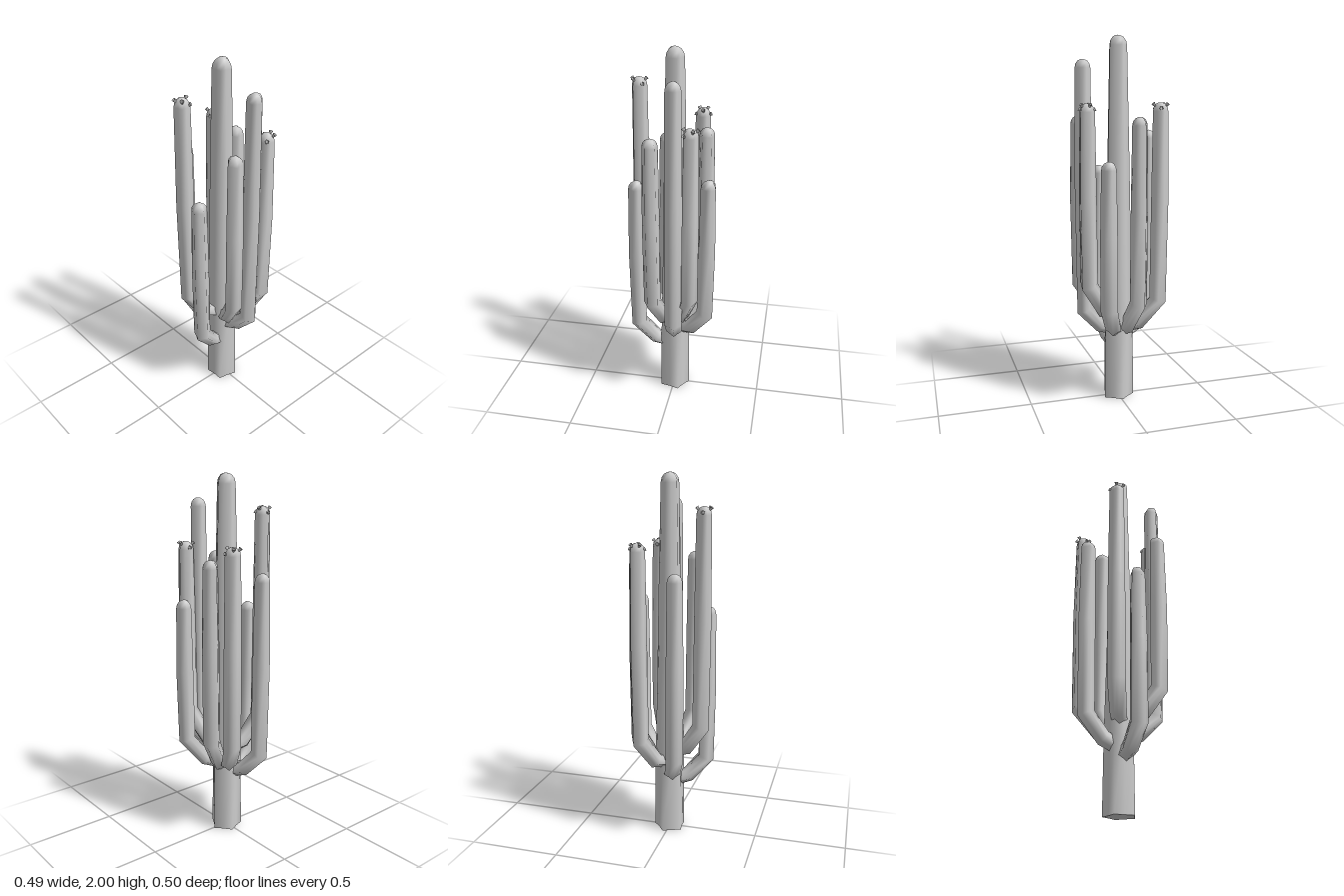
import * as THREE from 'three';

const material = new THREE.MeshStandardMaterial({ color: 0xcccccc, side: THREE.DoubleSide });
const RIBS = 5, SIDES = RIBS * 2, VALLEY = 0.77;

// Sweeps a five-ribbed star section along sections of { out, y, r } in the
// vertical plane that faces the given angle.
function ribbedTube(sections, angle) {
  const o = new THREE.Vector3(Math.cos(angle), 0, Math.sin(angle));
  const b = new THREE.Vector3(0, 1, 0).cross(o);
  const pos = [], index = [];
  sections.forEach((s, i) => {
    const p = sections[Math.max(i - 1, 0)], q = sections[Math.min(i + 1, sections.length - 1)];
    const t1 = new THREE.Vector2(s.out - p.out, s.y - p.y).normalize();
    const t2 = new THREE.Vector2(q.out - s.out, q.y - s.y).normalize();
    const t = t1.add(t2).normalize();
    const tangent = o.clone().multiplyScalar(t.x);
    tangent.y = t.y;
    const n = b.clone().cross(tangent);
    for (let j = 0; j < SIDES; j++) {
      const a = (j / SIDES) * Math.PI * 2, r = s.r * (j % 2 ? VALLEY : 1);
      const v = o.clone().multiplyScalar(s.out);
      v.y = s.y;
      v.addScaledVector(n, r * Math.cos(a)).addScaledVector(b, r * Math.sin(a));
      pos.push(v.x, v.y, v.z);
      if (i > 0) {
        const k = (j + 1) % SIDES, lo = (i - 1) * SIDES, hi = i * SIDES;
        index.push(lo + j, lo + k, hi + k, lo + j, hi + k, hi + j);
      }
    }
  });
  const g = new THREE.BufferGeometry();
  g.setAttribute('position', new THREE.Float32BufferAttribute(pos, 3));
  g.setIndex(index);
  g.computeVertexNormals();
  return g;
}

// Rounded tip, as sections that shrink to a point
const dome = (out, top, r) => [[1, 0.95], [0.55, 0.86], [0.2, 0.6], [0.05, 0.3], [0, 0.001]]
  .map(([drop, k]) => ({ out, y: top - drop * r, r: r * k }));

// Small flared blossoms around the rim of a tip
function addBlossoms(group, x, y, z, r, turn) {
  const cup = new THREE.CylinderGeometry(0.011, 0.004, 0.022, 5, 1, true);
  for (let i = 0; i < 5; i++) {
    const a = turn + (i / 5) * Math.PI * 2;
    const dir = new THREE.Vector3(Math.cos(a), i % 2 ? 0.5 : 1.3, Math.sin(a)).normalize();
    const m = new THREE.Mesh(cup, material);
    m.name = 'blossom';
    m.quaternion.setFromUnitVectors(new THREE.Vector3(0, 1, 0), dir);
    m.position.set(x + Math.cos(a) * r * 0.78, y - (i % 2 ? 0.035 : 0.014), z + Math.sin(a) * r * 0.78);
    group.add(m);
  }
}

export function createModel() {
  const model = new THREE.Group();
  model.name = 'cactus';

  // Trunk, tapering to its tip
  const trunk = new THREE.Mesh(ribbedTube([
    { out: 0, y: 0, r: 0.09 }, { out: 0, y: 0.4, r: 0.086 }, { out: 0, y: 0.8, r: 0.076 },
    { out: 0, y: 1.4, r: 0.064 }, ...dome(0, 2, 0.054),
  ], 1.19), material);
  trunk.name = 'trunk';
  model.add(trunk);

  // Flat underside of the trunk
  const star = new THREE.Shape();
  for (let j = 0; j < SIDES; j++) {
    const a = 1.19 + (j / SIDES) * Math.PI * 2, r = 0.09 * (j % 2 ? VALLEY : 1);
    star[j ? 'lineTo' : 'moveTo'](r * Math.cos(a), r * Math.sin(a));
  }
  const base = new THREE.Mesh(new THREE.ShapeGeometry(star).rotateX(Math.PI / 2), material);
  base.name = 'base';
  model.add(base);

  // Arms: tip x, tip z, root height, elbow height, tip height, in bloom
  const arms = [
    [-0.08, -0.205, 0.36, 0.49, 1.50, false],
    [0.12, -0.2, 0.42, 0.58, 1.65, true],
    [0.16, -0.075, 0.41, 0.57, 1.575, false],
    [-0.2, -0.065, 0.49, 0.65, 1.83, true],
    [-0.2, 0.05, 0.30, 0.43, 1.30, false],
    [-0.09, 0.195, 0.49, 0.65, 1.58, false],
    [0.03, 0.2, 0.41, 0.53, 1.87, false],
    [0.115, 0.2, 0.51, 0.68, 1.645, true],
    [0.2, 0.105, 0.41, 0.56, 1.35, false],
  ];
  for (const [x, z, root, elbow, top, bloom] of arms) {
    const reach = Math.hypot(x, z), angle = Math.atan2(z, x);
    const arm = new THREE.Group();
    arm.name = 'arm';
    const stem = new THREE.Mesh(ribbedTube([
      { out: 0.02, y: root - 0.01, r: 0.042 },
      { out: reach * 0.5, y: root + 0.02, r: 0.046 },
      { out: reach * 0.97, y: elbow, r: 0.05 },
      { out: reach, y: (elbow + top) / 2, r: 0.049 },
      ...dome(reach, top, 0.045),
    ], angle), material);
    stem.name = 'armStem';
    arm.add(stem);
    if (bloom) addBlossoms(arm, x, top, z, 0.045, angle);
    model.add(arm);
  }
  return model;
}
